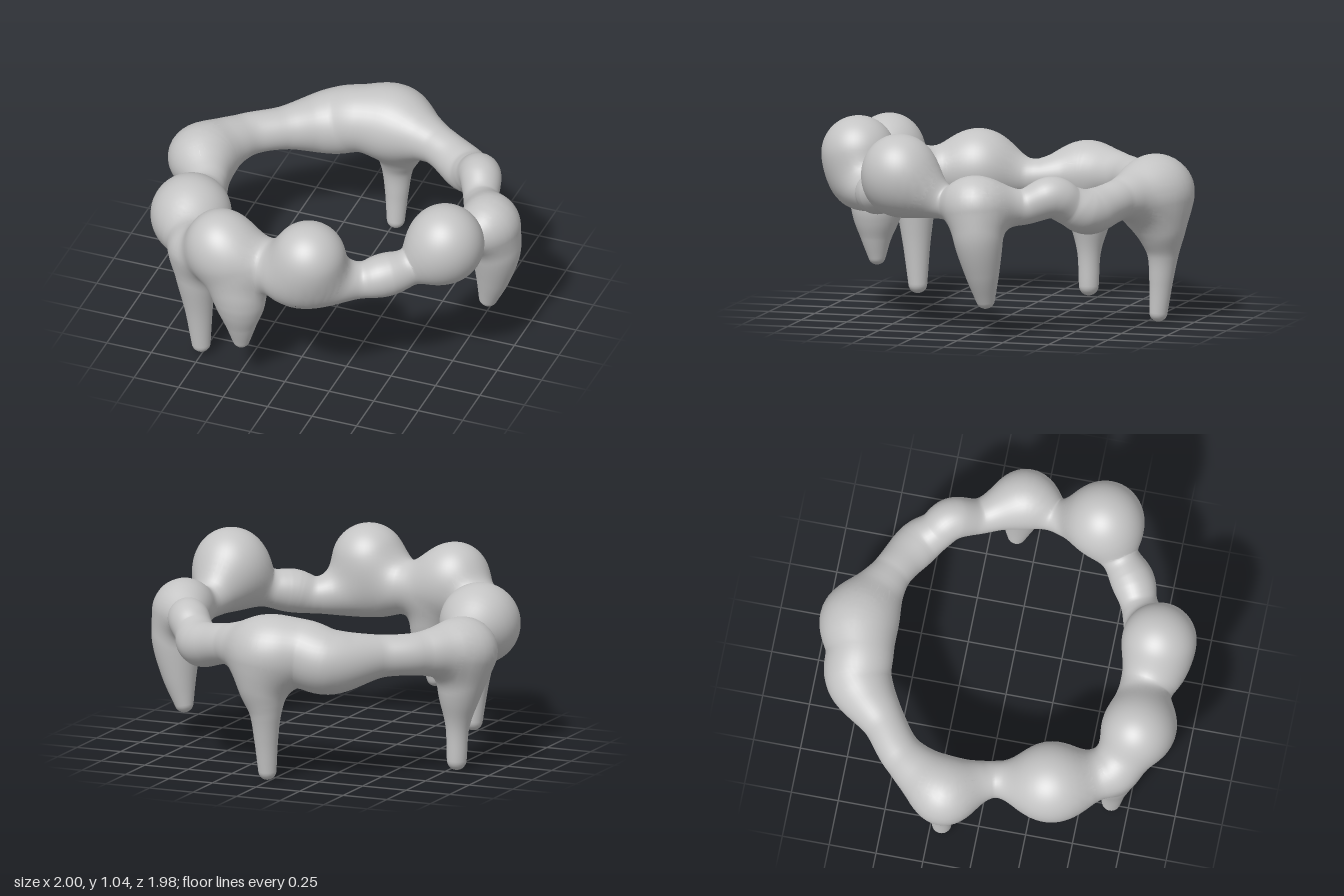
import * as THREE from 'three';

// Points are [x, y, z, radius]
const RING = [
  [0.11, 0.72, 0.785, 0.172], [0.36, 0.67, 0.65, 0.10], [0.50, 0.695, 0.58, 0.115], [0.62, 0.72, 0.48, 0.10],
  [0.75, 0.78, 0.37, 0.17], [0.78, 0.70, 0.13, 0.09], [0.83, 0.71, -0.05, 0.135], [0.715, 0.68, -0.26, 0.095],
  [0.65, 0.73, -0.41, 0.11], [0.58, 0.68, -0.49, 0.105], [0.50, 0.64, -0.575, 0.12], [0.29, 0.68, -0.68, 0.11],
  [0.03, 0.68, -0.77, 0.185], [-0.15, 0.685, -0.75, 0.178], [-0.30, 0.645, -0.725, 0.172], [-0.50, 0.66, -0.56, 0.115],
  [-0.68, 0.66, -0.41, 0.115], [-0.79, 0.65, -0.18, 0.155], [-0.70, 0.63, 0.08, 0.097], [-0.68, 0.65, 0.37, 0.16],
  [-0.54, 0.66, 0.65, 0.12], [-0.34, 0.74, 0.765, 0.155], [-0.10, 0.735, 0.76, 0.135],
];
const BALLS = {
  frontBall: [0.15, 0.85, 0.79, 0.195],
  leftBall: [0.76, 0.85, 0.385, 0.197],
  frontRightBall: [-0.355, 0.815, 0.77, 0.175],
  rightBall: [-0.67, 0.67, 0.375, 0.21],
};
const LEGS = {
  shortFrontLeg: [[-0.29, 0.74, 0.78, 0.175], [-0.235, 0.53, 0.80, 0.142], [-0.225, 0.37, 0.805, 0.085], [-0.225, 0.25, 0.80, 0.046]],
  frontRightLeg: [[-0.54, 0.67, 0.685, 0.12], [-0.53, 0.52, 0.68, 0.107], [-0.515, 0.30, 0.67, 0.075], [-0.505, 0.07, 0.66, 0.05]],
  rightLeg: [[-0.84, 0.64, -0.17, 0.16], [-0.81, 0.45, -0.19, 0.12], [-0.795, 0.25, -0.19, 0.065], [-0.79, 0.055, -0.19, 0.052]],
  backLeg: [[0.02, 0.67, -0.80, 0.185], [0.035, 0.53, -0.825, 0.14], [0.02, 0.38, -0.835, 0.086], [0.02, 0.22, -0.825, 0.063], [0.02, 0.05, -0.81, 0.048]],
  leftLeg: [[0.85, 0.68, -0.06, 0.145], [0.867, 0.54, -0.075, 0.132], [0.848, 0.36, -0.09, 0.093], [0.815, 0.20, -0.10, 0.05]],
};

// Smooth path with a radius at every step
function samplePath(points, closed, steps) {
  const make = (list) => new THREE.CatmullRomCurve3(list, closed, 'catmullrom');
  const path = make(points.map((p) => new THREE.Vector3(p[0], p[1], p[2])));
  const width = make(points.map((p) => new THREE.Vector3(p[3], 0, 0)));
  return Array.from({ length: steps + 1 }, (_, i) => ({
    c: path.getPoint(i / steps), t: path.getTangent(i / steps), r: width.getPoint(i / steps).x,
  }));
}

// Round tube through the samples; open tubes get rounded ends
function sweep(samples, closed, ref, sides) {
  const rows = samples.slice();
  if (!closed) {
    const cap = (s, dir) => Array.from({ length: 7 }, (_, i) => {
      const a = ((i + 1) / 7) * Math.PI / 2;
      return { c: s.c.clone().addScaledVector(s.t, dir * s.r * Math.sin(a)), t: s.t, r: s.r * Math.cos(a) };
    });
    rows.unshift(...cap(samples[0], -1).reverse());
    rows.push(...cap(samples[samples.length - 1], 1));
  }
  const pos = [], index = [];
  rows.forEach(({ c, t, r }, i) => {
    const n = new THREE.Vector3().crossVectors(ref, t).normalize();
    const b = new THREE.Vector3().crossVectors(t, n);
    for (let j = 0; j <= sides; j++) {
      const a = (j / sides) * Math.PI * 2;
      const p = c.clone().addScaledVector(n, r * Math.cos(a)).addScaledVector(b, r * Math.sin(a));
      pos.push(p.x, p.y, p.z);
      if (i < rows.length - 1 && j < sides) {
        const k = i * (sides + 1) + j, m = k + sides + 1;
        index.push(k, k + 1, m, k + 1, m + 1, m);
      }
    }
  });
  const g = new THREE.BufferGeometry();
  g.setAttribute('position', new THREE.Float32BufferAttribute(pos, 3));
  g.setIndex(index);
  return g;
}

export function createModel() {
  const group = new THREE.Group();
  const grey = new THREE.MeshStandardMaterial({ color: 0xc4c4c4 });
  grey.name = 'plainGrey';

  const parts = [];
  const ringPath = samplePath(RING, true, 230);
  parts.push({ name: 'ring', samples: ringPath, geo: sweep(ringPath, true, new THREE.Vector3(0, 1, 0), 40) });
  for (const [name, points] of Object.entries(LEGS)) {
    const samples = samplePath(points, false, 40);
    parts.push({ name, samples, geo: sweep(samples, false, new THREE.Vector3(0, 0, 1), 32) });
  }
  for (const [name, [x, y, z, r]] of Object.entries(BALLS)) {
    const geo = new THREE.SphereGeometry(r, 48, 32).translate(x, y, z);
    parts.push({ name, samples: [{ c: new THREE.Vector3(x, y, z), r }], geo });
  }

  // Distance to all parts melted together
  const K = 0.08;
  const field = (x, y, z) => {
    let d = 10;
    for (const { samples } of parts) {
      let e = 10;
      for (const { c, r } of samples) e = Math.min(e, Math.hypot(x - c.x, y - c.y, z - c.z) - r);
      const h = Math.max(K - Math.abs(d - e), 0) / K;
      d = Math.min(d, e) - h * h * K * 0.25;
    }
    return d;
  };
  const E = 0.006;
  const slope = (p) => new THREE.Vector3(
    field(p.x + E, p.y, p.z) - field(p.x - E, p.y, p.z),
    field(p.x, p.y + E, p.z) - field(p.x, p.y - E, p.z),
    field(p.x, p.y, p.z + E) - field(p.x, p.y, p.z - E)).normalize();

  // Pull each part's skin onto the melted surface so the joints flow together
  for (const { name, geo } of parts) {
    const pos = geo.attributes.position;
    const normals = new Float32Array(pos.count * 3);
    const p = new THREE.Vector3();
    for (let i = 0; i < pos.count; i++) {
      p.fromBufferAttribute(pos, i);
      const buried = field(p.x, p.y, p.z) < -0.08;
      for (let s = 0; s < 3 && !buried; s++) p.addScaledVector(slope(p), -field(p.x, p.y, p.z));
      pos.setXYZ(i, p.x, p.y, p.z);
      slope(p).toArray(normals, i * 3);
    }
    geo.setAttribute('normal', new THREE.BufferAttribute(normals, 3));
    const mesh = new THREE.Mesh(geo, grey);
    mesh.name = name;
    group.add(mesh);
  }
  return group;
}
